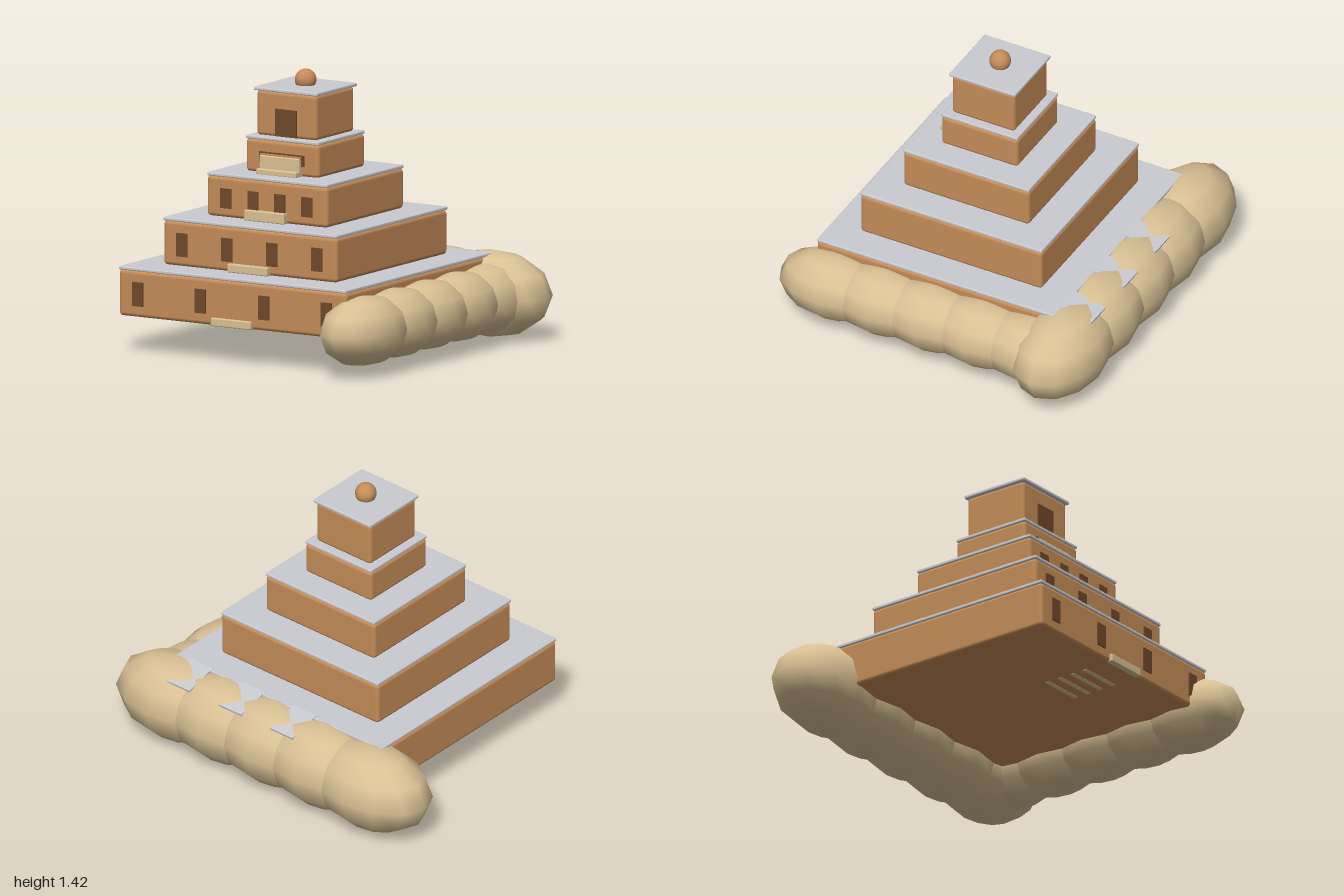
import * as THREE from 'three';
import { RoundedBoxGeometry } from 'three/addons/geometries/RoundedBoxGeometry.js';

const mat = (name, color) => {
  const m = new THREE.MeshStandardMaterial({ color });
  m.name = name;
  return m;
};

export function createModel() {
  const clay = mat('clay wall', 0xc48c58);
  const stone = mat('pale stone', 0xd9c094);
  const slate = mat('roof slate', 0xc9cbd0);
  const dark = mat('dark opening', 0x70482c);
  const model = new THREE.Group();
  model.name = 'steppedTemple';

  const add = (name, geo, material, x, y, z) => {
    const m = new THREE.Mesh(geo, material);
    m.name = name;
    m.position.set(x, y, z);
    model.add(m);
    return m;
  };
  const box = (name, material, w, h, d, x, y, z) =>
    add(name, new THREE.BoxGeometry(w, h, d), material, x, y, z);

  // Stacked tiers: half width, wall bottom, wall top, slab half width, window positions and height range
  const cz = 0.035;
  const tiers = [
    { r: 0.683, y0: 0.195, y1: 0.432, slab: 0.682, win: [0.19, 0.565], wy: [0.252, 0.375] },
    { r: 0.52, y0: 0.447, y1: 0.675, slab: 0.52, win: [0.135, 0.405], wy: [0.497, 0.617] },
    { r: 0.361, y0: 0.69, y1: 0.897, slab: 0.36, win: [0.08, 0.243], wy: [0.737, 0.838] },
    { r: 0.219, y0: 0.91, y1: 1.08, slab: 0.218, win: [], wy: [] },
    { r: 0.18, y0: 1.093, y1: 1.325, slab: 0.19, win: [], wy: [] },
  ];
  tiers.forEach((t, i) => {
    const h = t.y1 - t.y0;
    add('tierWall' + (i + 1), new RoundedBoxGeometry(t.r * 2, h, t.r * 2, 3, 0.02), clay, 0, t.y0 + h / 2, cz);
    add('roofSlab' + (i + 1), new RoundedBoxGeometry(t.slab * 2, 0.018, t.slab * 2, 2, 0.006), slate, 0, t.y1 + 0.007, cz);
    for (const x of t.win) for (const s of [-1, 1])
      box('window', dark, 0.064, t.wy[1] - t.wy[0], 0.009, s * x, (t.wy[0] + t.wy[1]) / 2, cz + t.r + 0.002);
  });

  // Shrine doorway and the opening behind the upper stair
  box('shrineDoor', dark, 0.128, 0.14, 0.009, 0, 1.168, cz + 0.182);
  box('upperOpening', dark, 0.268, 0.056, 0.009, 0, 0.992, cz + 0.222);
  box('openingLintel', clay, 0.24, 0.018, 0.02, 0, 1.004, cz + 0.228);

  // Front steps: bottom y, height, back z, front z
  const steps = [
    [0.195, 0.042, 0.70, 0.736],
    [0.447, 0.044, 0.54, 0.582],
    [0.69, 0.055, 0.38, 0.425],
    [0.91, 0.095, 0.24, 0.282],
    [0.91, 0.03, 0.27, 0.312],
  ];
  for (const [y, h, z0, z1] of steps)
    add('frontStep', new RoundedBoxGeometry(0.24, h, z1 - z0, 2, 0.006), stone, 0, y + h / 2, (z0 + z1) / 2);

  // Step undersides showing through the base
  for (let i = 0; i < 4; i++)
    box('stepUnderside', stone, 0.24, 0.008, 0.025, 0, 0.197, 0.56 - i * 0.08);

  // Finial on the top roof
  add('finial', new THREE.SphereGeometry(0.055, 20, 14), clay, 0, 1.368, 0.033);

  // Rows of overlapping boulders behind and along the left side
  const boulder = new THREE.SphereGeometry(1, 12, 6);
  for (let i = -2; i <= 2; i++) {
    add('backBoulder', boulder, stone, i * 0.323, 0.232, -0.678).scale.set(0.353, 0.225, 0.232);
    add('sideBoulder', boulder, stone, 0.715, 0.23, 0.035 + i * 0.283).scale.set(0.193, 0.18, 0.3);
  }

  // Sloping slate pieces lying in the gaps between the back boulders
  for (const x of [-0.16, 0.18, 0.525])
    box('gapSlate', slate, 0.15, 0.012, 0.19, x, 0.424, -0.72).rotation.x = -0.24;

  return model;
}
